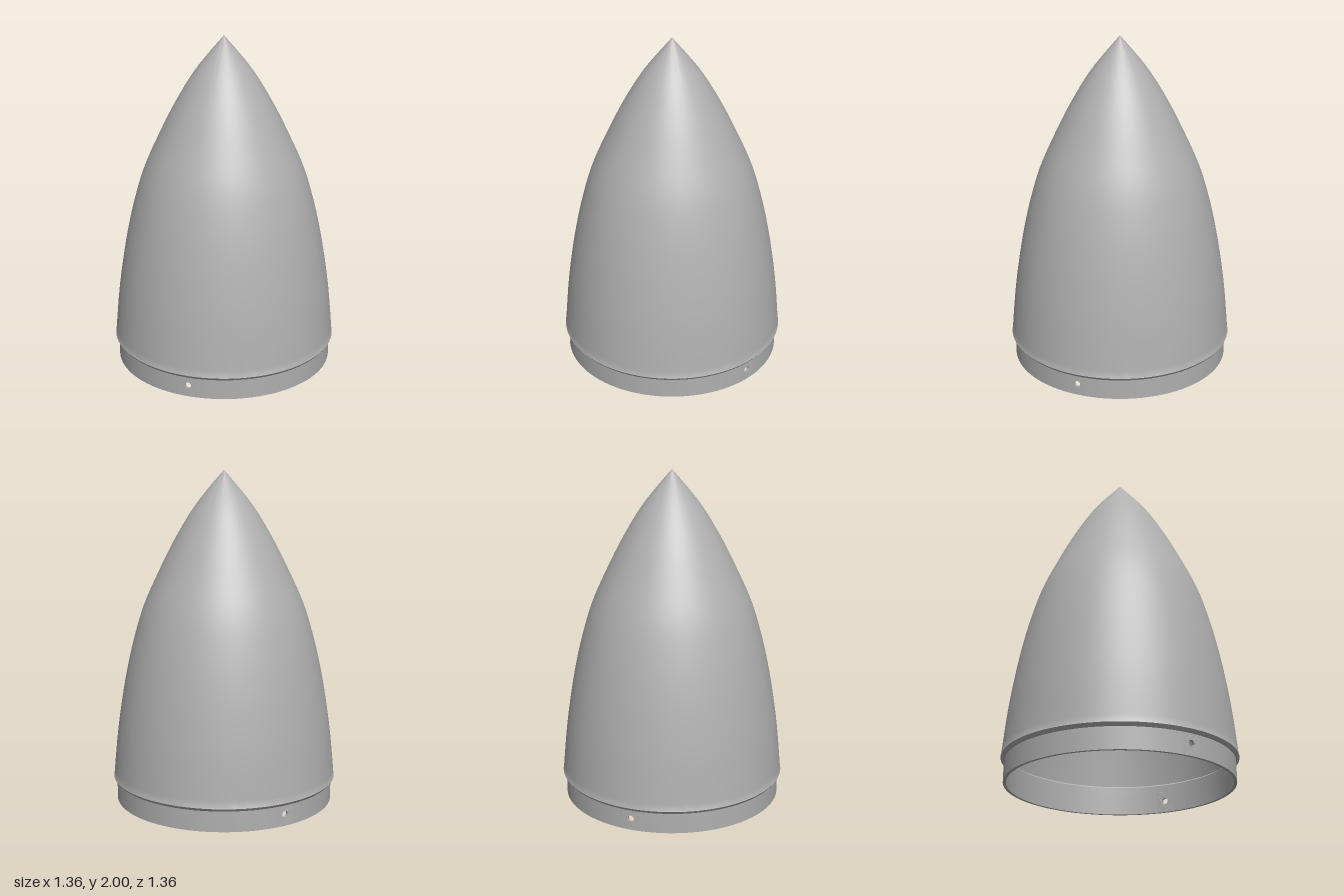
import * as THREE from 'three';
import { toCreasedNormals } from 'three/addons/utils/BufferGeometryUtils.js';

const SEGMENTS = 96;
const OUTER = 0.662, INNER = 0.645;   // collar radii
const COLLAR_TOP = 0.125;
const HOLE_Y = 0.07, HOLE_R = 0.019;
const HALF = THREE.MathUtils.degToRad(5); // half angle of a panel with a hole

const v = (x, y) => new THREE.Vector2(x, y);

// Smooth curve through the ogive stations, from base to tip
function ogive(stations) {
  return new THREE.SplineCurve(stations.map(([r, y]) => v(r, y))).getPoints(40)
    .map((p) => v(Math.max(p.x, 0), p.y));
}

// Collar panel: a flat plate with a hole, bent round the axis
function holePanel() {
  const w = HALF * OUTER, steps = 6;
  const shape = new THREE.Shape();
  shape.moveTo(-w, 0);
  for (let i = 1; i <= steps; i++) shape.lineTo(-w + (2 * w * i) / steps, 0);
  for (let i = 0; i <= steps; i++) shape.lineTo(w - (2 * w * i) / steps, COLLAR_TOP);
  shape.closePath();
  const hole = new THREE.Path();
  hole.absarc(0, HOLE_Y, HOLE_R, 0, Math.PI * 2, true);
  shape.holes.push(hole);
  const geometry = new THREE.ExtrudeGeometry(shape, {
    depth: OUTER - INNER, bevelEnabled: false, curveSegments: 12,
  });
  const pos = geometry.attributes.position;
  for (let i = 0; i < pos.count; i++) {
    const angle = pos.getX(i) / OUTER, r = INNER + pos.getZ(i);
    pos.setXYZ(i, r * Math.sin(angle), pos.getY(i), r * Math.cos(angle));
  }
  return toCreasedNormals(geometry, 0.6);
}

export function createModel() {
  const model = new THREE.Group();
  model.name = 'noseCone';
  const grey = new THREE.MeshStandardMaterial({ color: 0xb0b0b0 });
  grey.name = 'grey';

  const add = (name, geometry, parent = model) => {
    const mesh = new THREE.Mesh(geometry, grey);
    mesh.name = name;
    parent.add(mesh);
    return mesh;
  };
  const lathe = (points, start = 0, length = Math.PI * 2, segments = SEGMENTS) =>
    toCreasedNormals(new THREE.LatheGeometry(points, segments, start, length), 0.4);

  // Outer skin with the chamfered lip above the collar
  add('outerShell', lathe([
    v(OUTER, COLLAR_TOP), v(0.668, COLLAR_TOP), v(0.682, 0.143),
    ...ogive([[0.68, 0.147], [0.655, 0.4], [0.627, 0.6], [0.591, 0.8], [0.544, 1.0],
      [0.482, 1.2], [0.392, 1.4], [0.29, 1.6], [0.166, 1.8], [0, 2]]),
  ]));

  // Hollow inside, running down to the collar
  add('innerShell', lathe([
    ...ogive([[0.658, 0.18], [0.635, 0.4], [0.607, 0.6], [0.57, 0.8], [0.522, 1.0],
      [0.459, 1.2], [0.368, 1.4], [0.265, 1.6], [0.139, 1.8], [0, 1.96]]).reverse(),
    v(INNER, 0.17), v(INNER, COLLAR_TOP),
  ]));

  // Collar: three panels with screw holes joined by plain arcs
  const collar = new THREE.Group();
  collar.name = 'collar';
  model.add(collar);
  const third = (Math.PI * 2) / 3;
  const panel = holePanel();
  const section = [v(INNER, COLLAR_TOP), v(INNER, 0), v(OUTER, 0), v(OUTER, COLLAR_TOP)];
  const arc = lathe(section, HALF, third - 2 * HALF, 32);
  for (let i = 0; i < 3; i++) {
    add('holePanel', panel, collar).rotation.y = i * third;
    add('collarArc', arc, collar).rotation.y = i * third;
  }
  return model;
}
